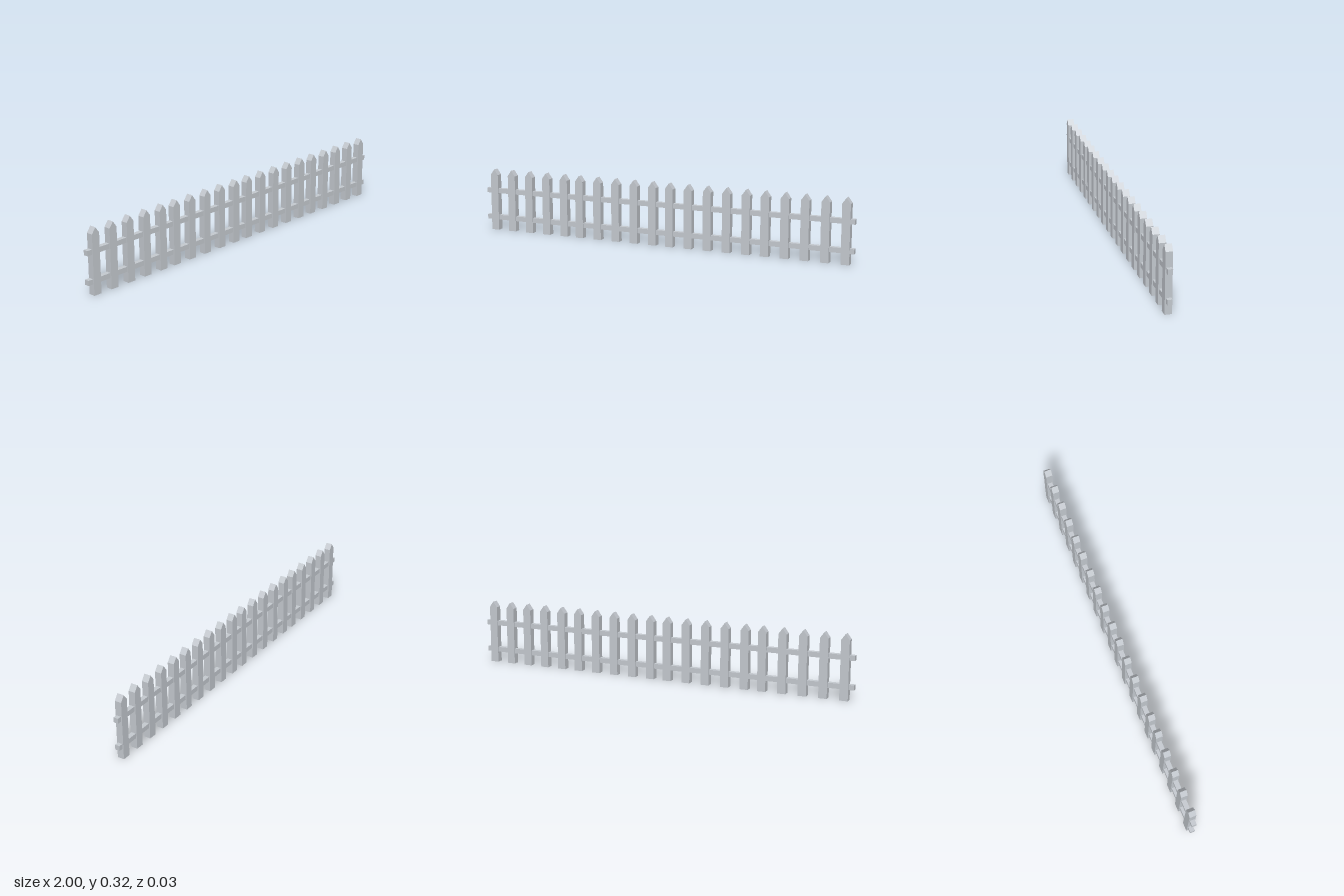
import * as THREE from 'three';

export function createModel() {
  const fence = new THREE.Group();
  fence.name = 'picketFence';
  const paint = new THREE.MeshStandardMaterial({ color: 0xc3c8ce });
  paint.name = 'lightGreyPaint';

  // Pointed picket outline, extruded to its depth
  const half = 0.021, shoulder = 0.295, tip = 0.324, depth = 0.034;
  const outline = new THREE.Shape([
    new THREE.Vector2(-half, 0),
    new THREE.Vector2(half, 0),
    new THREE.Vector2(half, shoulder),
    new THREE.Vector2(0, tip),
    new THREE.Vector2(-half, shoulder),
  ]);
  const picketGeometry = new THREE.ExtrudeGeometry(outline, { depth, bevelEnabled: false });
  picketGeometry.translate(0, 0, -depth / 2);

  // Four runs of five pickets: start and spacing of each run
  const runs = [[-0.952, 0.1028], [-0.451, 0.1028], [0.052, 0.1015], [0.555, 0.1006]];
  for (const [start, spacing] of runs) {
    for (let i = 0; i < 5; i++) {
      const picket = new THREE.Mesh(picketGeometry, paint);
      picket.name = 'picket';
      picket.position.x = start + i * spacing;
      fence.add(picket);
    }
  }

  // Two horizontal rails running through the pickets
  const railGeometry = new THREE.BoxGeometry(2, 0.025, 0.024);
  for (const [name, y] of [['lowerRail', 0.067], ['upperRail', 0.21]]) {
    const rail = new THREE.Mesh(railGeometry, paint);
    rail.name = name;
    rail.position.y = y;
    fence.add(rail);
  }
  return fence;
}
